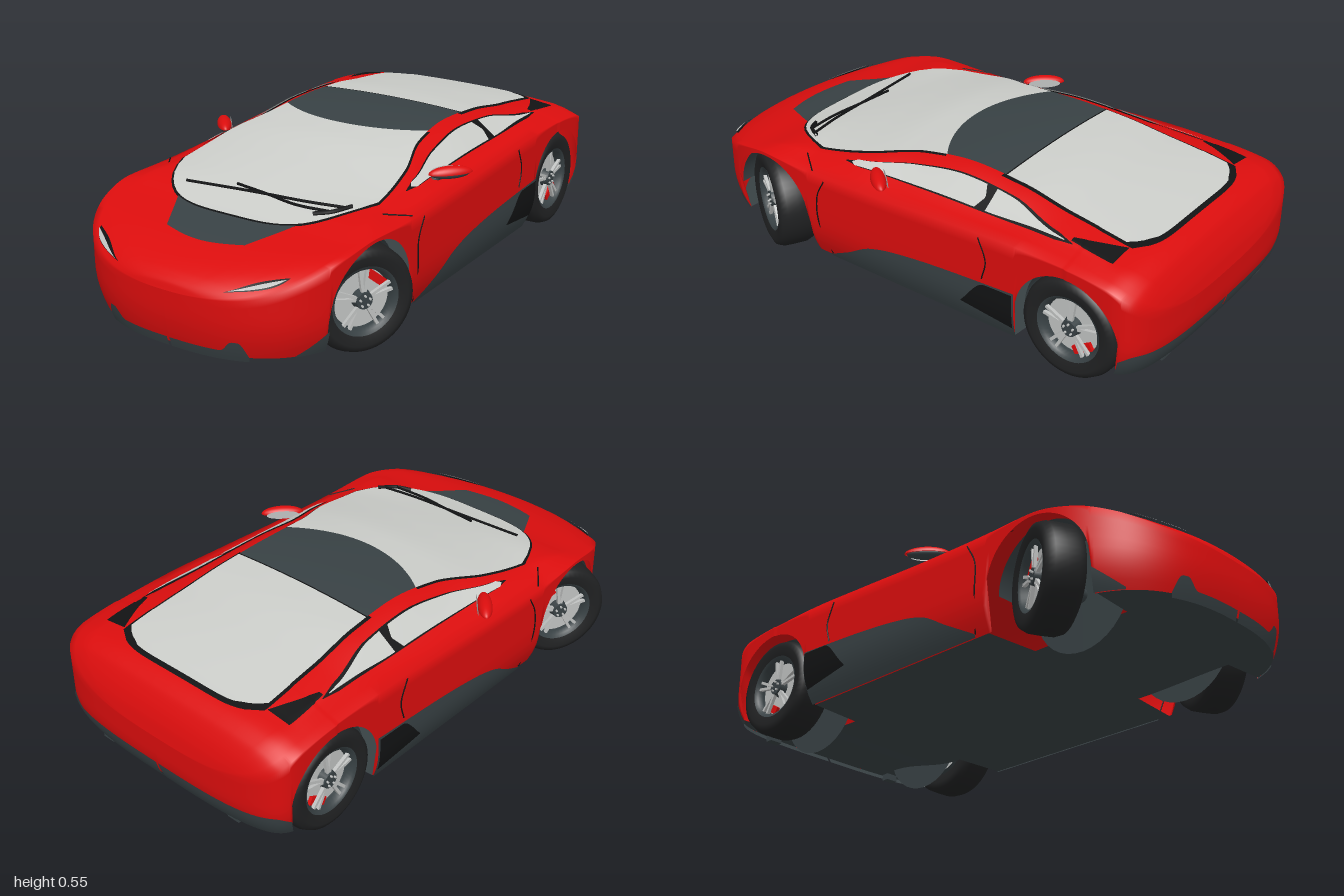
import * as THREE from 'three';

const mat = (name, color) => Object.assign(new THREE.MeshStandardMaterial({ color, side: THREE.DoubleSide }), { name });
const red = mat('red paint', 0xdb0d0d), glass = mat('pale glass', 0xcbcdc9), dark = mat('dark slate trim', 0x384144),
  black = mat('black trim', 0x121314), rubber = mat('tyre rubber', 0x202122), silver = mat('silver', 0xbfc1c0);
const lerp = THREE.MathUtils.lerp, clamp = THREE.MathUtils.clamp;

// Smooth curve through a column of table rows sorted by descending z, without overshoot
function curve(rows, c = 1) {
  const z = rows.map(r => -r[0]), y = rows.map(r => r[c]), n = z.length;
  const d = z.slice(1).map((v, i) => (y[i + 1] - y[i]) / (v - z[i]));
  const m = z.map((_, i) => i === 0 ? d[0] : i === n - 1 ? d[n - 2]
    : d[i - 1] * d[i] <= 0 ? 0 : 2 * d[i - 1] * d[i] / (d[i - 1] + d[i]));
  return zz => {
    const q = clamp(-zz, z[0], z[n - 1]);
    let i = 0;
    while (i < n - 2 && q > z[i + 1]) i++;
    const h = z[i + 1] - z[i], t = (q - z[i]) / h, s = 1 - t;
    return y[i] * (1 + 2 * t) * s * s + m[i] * h * t * s * s + y[i + 1] * t * t * (3 - 2 * t) - m[i + 1] * h * t * t * s;
  };
}

// Body rules: plan half-width, shoulder height, centreline height, lower edge
const halfWidth = z => z > 0.3 ? 0.51 * Math.max(0, 1 - ((z - 0.3) / 0.7) ** 4) ** 0.4
  : z < -0.7 ? 0.513 * Math.max(0, 1 - ((-z - 0.7) / 0.3) ** 8) ** (1 / 3) : 0.51;
const shoulder = curve([[1, .25], [.95, .27], [.85, .32], [.72, .365], [.58, .387], [.4, .383], [.1, .39], [-.2, .405],
  [-.5, .417], [-.7, .413], [-.85, .4], [-.93, .365], [-.98, .305], [-1, .27]]);
const crown = curve([[1, .25], [.99, .275], [.97, .293], [.95, .305], [.9, .325], [.8, .352], [.66, .378], [.55, .406], [.3, .466],
  [.1, .505], [-.2, .525], [-.4, .515], [-.6, .49], [-.8, .455], [-.88, .436], [-.93, .408], [-.96, .37], [-.985, .32], [-1, .27]]);
// z, then width and height fractions of the roof edge, window top and belt line
const guides = [[1, .6, .75, .75, .55, .88, .3], [.8, .6, .95, .75, .8, .88, .5], [.62, .8, 1.1, .84, 1.1, .88, 1],
  [.4, .78, .6, .81, .53, .85, .4], [.2, .73, .7, .79, .52, .845, .37], [0, .61, .87, .7, .67, .84, .3],
  [-.2, .575, .92, .67, .79, .84, .25], [-.4, .585, .9, .69, .75, .84, .22], [-.6, .61, .8, .78, .53, .84, .33],
  [-.8, .62, .82, .81, .55, .87, .4], [-.92, .6, .9, .78, .75, .88, .5], [-1, .6, .9, .78, .75, .88, .5]];
const [f1, g1, f2, g2, f3, g3] = [1, 2, 3, 4, 5, 6].map(c => curve(guides, c));
const sill = curve([[1, .065], [.75, .062], [.4, .05], [-.55, .05], [-.9, .1], [-1, .1]]);
const WHEELS = [[0.58, -0.5], [-0.71, 0]], ARCH = 0.195, HUB = 0.18;
const lowerEdge = z => {
  let y = sill(z);
  for (const [c] of WHEELS) if (Math.abs(z - c) < ARCH) y = HUB + Math.sqrt(ARCH ** 2 - (z - c) ** 2);
  return Math.min(y, shoulder(z) - 0.008);
};
// Point on the upper surface at width fraction f (signed)
function deck(f, z, o = 0) {
  const a = Math.abs(f), k = [f1(z), f2(z), f3(z), 1], g = [g1(z), g2(z), g3(z), 0];
  let h;
  if (a <= k[0]) h = 1 + (g[0] - 1) * (a / k[0]) ** 2;
  else {
    const i = a <= k[1] ? 1 : a <= k[2] ? 2 : 3;
    h = lerp(g[i - 1], g[i], (a - k[i - 1]) / (k[i] - k[i - 1]));
  }
  const side = a > k[0] ? Math.sign(f) * o : 0;
  return [f * halfWidth(z) + side, lerp(shoulder(z), crown(z), h) + o, z + (Math.abs(z) > .85 ? Math.sign(z) * o : 0)];
}
// Point on the flank at height y
function flank(s, y, z, o = 0) {
  const d = Math.max(0, 0.2 - y) ** 2;
  return [s * (halfWidth(z) * (1 - 3.5 * d) + o), y, z * (1 - (z > 0 ? 1.2 : 2.6) * d * Math.abs(z)) + o * z ** 9];
}

export function createModel() {
  const car = new THREE.Group();
  car.name = 'sportsCar';
  const add = (name, geo, m, parent = car) => {
    const mesh = new THREE.Mesh(geo, m);
    mesh.name = name;
    parent.add(mesh);
    return mesh;
  };
  // Surface from a rule: u runs front to back, v from -x to +x
  const grid = (name, m, nu, nv, fn) => {
    const pos = [], idx = [], w = nv + 1;
    for (let i = 0; i <= nu; i++) for (let j = 0; j <= nv; j++) pos.push(...fn(i / nu, j / nv, j));
    for (let i = 0; i < nu; i++) for (let j = 0; j < nv; j++) {
      const a = i * w + j;
      idx.push(a, a + 1, a + w, a + 1, a + w + 1, a + w);
    }
    const geo = new THREE.BufferGeometry();
    geo.setAttribute('position', new THREE.Float32BufferAttribute(pos, 3));
    geo.setIndex(idx);
    geo.computeVertexNormals();
    return add(name, geo, m);
  };
  const line = (name, pts, r = 0.0025, m = black) =>
    add(name, new THREE.TubeGeometry(new THREE.CatmullRomCurve3(pts.map(p => new THREE.Vector3(...p))), 24, r, 5), m);

  // Painted shell, one section per station
  const SK = 8, HALF = SK + 9;
  grid('bodyShell', red, 260, 2 * HALF, (u, v, j) => {
    const z = Math.cos(Math.PI * u), s = j < HALF ? -1 : 1, k = j < HALF ? j : 2 * HALF - j;
    if (k <= SK) return flank(s, lerp(lowerEdge(z), shoulder(z), k / SK), z);
    const a = f1(z), b = f3(z);
    const f = [(1 + b) / 2, b, (b + f2(z)) / 2, f2(z), a, a * .75, a * .5, a * .25, 0][k - SK - 1];
    return deck(s * f, z);
  });
  // Underbody
  grid('underFloor', dark, 160, 2, (u, v) => {
    const z = -Math.cos(Math.PI * u), y = sill(z), p = flank(1, y, z);
    const inWell = WHEELS.some(([c]) => Math.abs(z - c) < ARCH + .005);
    return [(v * 2 - 1) * (inWell ? Math.min(.27, p[0]) : p[0]), y, p[2]];
  });

  // Glass and roof panels on the upper surface
  const panel = (name, m, o, front, rear, width) => grid(name, m, 36, 28, (u, v) => {
    const s = v * 2 - 1, z = lerp(front(s), rear(s), u);
    return deck(s * width(z, s), z, o);
  });
  const screenFront = s => .66 - .26 * s ** 4, roofFront = s => .02 - .1 * s * s;
  panel('windscreenSurround', black, .003, s => screenFront(s) + .008, roofFront, z => f1(z) + .008);
  panel('windscreen', glass, .006, screenFront, roofFront, f1);
  panel('roofPanel', dark, .006, roofFront, () => -.32, f1);
  panel('rearWindowSurround', black, .003, () => -.31, s => -.878 + .05 * s ** 6, z => f1(z) + .015);
  panel('rearWindow', glass, .006, () => -.325, s => -.86 + .06 * s ** 6, f1);
  panel('bonnetPanel', dark, .004, s => .82 - .03 * s * s, s => screenFront(s * .6) + .006,
    z => lerp(.24, .14, clamp((z - .63) / .19, 0, 1)) / halfWidth(z));

  for (const s of [-1, 1]) {
    const out = v => s > 0 ? 1 - v : v;
    // Strips on the upper side, from an outer to an inner fraction
    const strip = (name, m, o, z0, z1, fa, fb) => grid(name, m, 30, 6, (u, v) => {
      const z = lerp(z0, z1, u);
      return deck(s * lerp(fa(z, u), fb(z, u), out(v)), z, o);
    });
    const pinch = (p, q) => (z, u) => lerp(f3(z), f2(z), .5 + (q - .5) * Math.min(1, p * u * (1 - u) + .1));
    strip('sideWindowFrame', black, .003, .27, -.67, pinch(14, .02), pinch(14, .98));
    strip('frontSideWindow', glass, .006, .24, -.31, pinch(30, .07), pinch(30, .92));
    strip('rearSideWindow', glass, .006, -.335, -.64, (z, u) => lerp(f3(z), f2(z), lerp(.07, .45, u ** 2)),
      (z, u) => lerp(f3(z), f2(z), lerp(.92, .55, u ** 2)));
    strip('rearDeckVent', black, .004, -.66, -.82, z => f2(z) + .01, (z, u) => lerp(f2(z) - .02, f1(z) + .02, u));
    // Headlamps
    const lamp = (w, a) => (z, u) => lerp(.8, .9, u) + a * w * Math.sin(Math.PI * u);
    strip('headlampFrame', black, .003, .967, .855, lamp(.06, 1), lamp(.06, -1));
    strip('headlamp', silver, .006, .962, .865, lamp(.04, 1), lamp(.025, -1));

    // Trim on the flank between two heights
    const trim = (name, m, o, z0, z1, lo, hi) => grid(name, m, 40, 6, (u, v) => {
      const z = Math.cos(lerp(Math.acos(z0), Math.acos(z1), u));
      return flank(s, lerp(lo(z), hi(z), out(v)), z, o);
    });
    trim('sidePanel', dark, .006, .31, -.515, sill,
      curve([[.31, .06], [.2, .12], [.1, .178], [0, .203], [-.2, .226], [-.515, .245]]));
    trim('sideIntake', black, .009, -.3, -.51, curve([[-.3, .13], [-.51, .1]]), curve([[-.3, .135], [-.4, .235], [-.51, .238]]));
    trim('frontCornerTrim', dark, .005, .865, .778, sill, curve([[.865, .07], [.778, .14]]));
    trim('frontIntake', dark, .005, 1, .953, z => sill(z) - .015,
      curve([[1, .085], [.984, .085], [.974, .122], [.968, .122], [.953, .066]]));
    trim('rearBumper', dark, .005, -.907, -1, z => sill(z) - .015, curve([[-.907, .15], [-.95, .175], [-1, .165]]));
    const flap = add('rearFlap', new THREE.BoxGeometry(.05, .06, .03), dark);
    flap.position.set(s * .3, .105, -.945);

    // Door seams
    line('doorFrontSeam', [[.06, .31], [.2, .335], [.3, .335], [.37, .3]].map(([y, z]) => flank(s, y, z, .001)));
    line('doorRearSeam', [[.4, -.37], [.32, -.4], [.25, -.385]].map(([y, z]) => flank(s, y, z, .001)));
    line('bonnetSeam', [[.98, .36], [.92, .4], [.86, .44]].map(([f, z]) => deck(s * f, z, .001)));

    // Door mirror
    const mirror = new THREE.Group();
    mirror.name = 'doorMirror';
    mirror.position.set(s * .478, .44, .075);
    mirror.rotation.y = s * .85;
    car.add(mirror);
    add('mirrorHousing', new THREE.SphereGeometry(1, 24, 12, 0, Math.PI * 2, 0, Math.PI / 2).scale(.078, .026, .026), red, mirror);
    add('mirrorBase', new THREE.SphereGeometry(1, 24, 8, 0, Math.PI * 2, Math.PI / 2, Math.PI / 2).scale(.07, .018, .024), dark, mirror);
    add('mirrorGlass', new THREE.CircleGeometry(1, 24).rotateY(Math.PI).scale(.06, .016, 1).translate(0, .004, -.026), silver, mirror);
    line('mirrorStalk', [[s * .42, .415, .13], [s * .45, .428, .1], [s * .48, .435, .075]], .009, dark);

    for (const [cz, steer] of WHEELS) {
      // Wheel well
      add('wheelArchLiner', new THREE.CylinderGeometry(ARCH, ARCH, .18, 36, 1, true, 0, Math.PI).rotateZ(Math.PI / 2), dark)
        .position.set(s * .36, HUB, cz);
      add('wheelWellWall', new THREE.CircleGeometry(ARCH, 36).rotateY(s * Math.PI / 2), dark).position.set(s * .27, HUB, cz);
      add('axle', new THREE.CylinderGeometry(.025, .025, .16, 12).rotateZ(Math.PI / 2), dark).position.set(s * .35, HUB, cz);

      // Wheel, outer face along local +x
      const wheel = new THREE.Group();
      wheel.name = cz > 0 ? 'frontWheel' : 'rearWheel';
      wheel.position.set(s * .43, HUB, cz);
      wheel.rotation.y = steer + (s < 0 ? Math.PI : 0);
      car.add(wheel);
      const turned = pts => new THREE.LatheGeometry(pts.map(p => new THREE.Vector2(...p)), 48).rotateZ(-Math.PI / 2);
      add('tyre', turned([[.116, -.06], [.15, -.071], [.17, -.062], [.179, -.04], [.18, 0], [.179, .04], [.17, .062], [.15, .071], [.116, .06]]),
        rubber, wheel);
      add('rim', turned([[.1, -.06], [.1, .035], [.106, .055], [.118, .062]]), dark, wheel);
      add('brakeDisc', new THREE.CylinderGeometry(.098, .098, .012, 40).rotateZ(Math.PI / 2).translate(.022, 0, 0), silver, wheel);
      const calAngle = cz > 0 ? .7 : 2.6, dir = s > 0 ? -1 : 1;
      add('brakeCaliper', new THREE.BoxGeometry(.016, .028, .075).translate(.032, .08, 0).rotateX(dir * calAngle), red, wheel);
      for (let i = 0; i < 5; i++) for (const tilt of [-.13, .13])
        add('spoke', new THREE.BoxGeometry(.012, .088, .01).translate(.046, .06, 0).rotateX(i * Math.PI * .4 + tilt), silver, wheel);
      add('hub', new THREE.CylinderGeometry(.028, .034, .03, 20).rotateZ(-Math.PI / 2).translate(.042, 0, 0), dark, wheel);
      for (let i = 0; i < 5; i++)
        add('wheelNut', new THREE.CylinderGeometry(.004, .004, .008, 6).rotateZ(Math.PI / 2).translate(.06, .018, 0).rotateX(i * Math.PI * .4), silver, wheel);
    }
  }

  // Wipers lying on the windscreen
  const onScreen = ([x, z]) => deck(x / halfWidth(z), z, .012);
  line('longWiper', [[.33, .5], [.2, .52], [0, .535], [-.26, .56]].map(onScreen), .005);
  line('shortWiper', [[.31, .54], [.18, .548], [.05, .53], [-.08, .515]].map(onScreen), .005);
  line('wiperArm', [[.35, .48], [.31, .54], [.26, .57]].map(onScreen), .007);
  return car;
}
